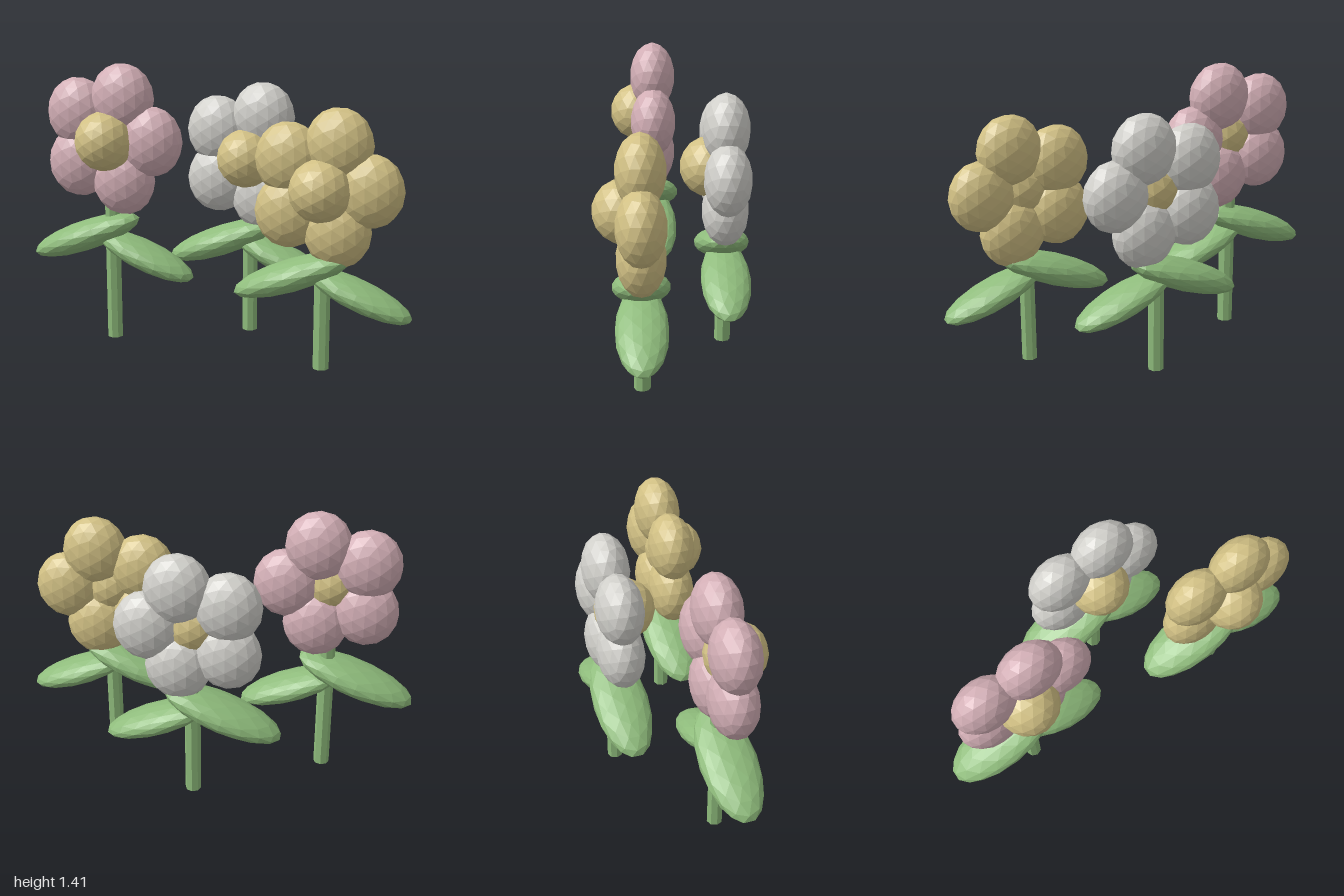
import * as THREE from 'three';

const paint = (name, color) => {
  const m = new THREE.MeshStandardMaterial({ color, flatShading: true });
  m.name = name;
  return m;
};

export function createModel() {
  const green = paint('leaf green', 0x8fbc7c);
  const pink = paint('soft pink', 0xd2aeb5);
  const white = paint('off white', 0xd0cfca);
  const yellow = paint('pale gold', 0xd1c084);

  const ball = new THREE.IcosahedronGeometry(1, 2);

  // Faceted ellipsoid used for petals, flower centres and leaves
  const blob = (name, material, radii, position, tilt = 0) => {
    const mesh = new THREE.Mesh(ball, material);
    mesh.name = name;
    mesh.scale.set(...radii);
    mesh.position.set(...position);
    mesh.rotation.z = tilt;
    return mesh;
  };

  const makeFlower = (name, petalMaterial, x, z, height) => {
    const flower = new THREE.Group();
    flower.name = name;
    flower.position.set(x, 0, z);

    // Stem runs up into the flower head
    const stem = new THREE.Mesh(new THREE.CylinderGeometry(0.04, 0.04, height, 8), green);
    stem.name = 'stem';
    stem.position.y = height / 2;
    flower.add(stem);

    // Drooping pair of leaves, the right-hand one larger and higher
    flower.add(blob('rightLeaf', green, [0.312, 0.077, 0.14], [-0.15, height * 0.508, 0], 0.37));
    flower.add(blob('leftLeaf', green, [0.273, 0.067, 0.123], [0.178, height * 0.433, 0], -0.37));

    // Ring of five petals
    for (let i = 0; i < 5; i++) {
      const a = (i / 5) * Math.PI * 2;
      const at = [Math.cos(a) * 0.215, height + Math.sin(a) * 0.215, 0];
      flower.add(blob('petal' + (i + 1), petalMaterial, [0.163, 0.176, 0.115], at));
    }

    // Centre pushed forward
    flower.add(blob('flowerCentre', yellow, [0.15, 0.15, 0.15], [0, height, 0.07]));
    return flower;
  };

  const group = new THREE.Group();
  group.name = 'flowers';
  group.add(
    makeFlower('pinkFlower', pink, -0.56, 0.093, 1.035),
    makeFlower('whiteFlower', white, 0.06, -0.246, 0.928),
    makeFlower('yellowFlower', yellow, 0.56, 0.167, 0.889)
  );
  return group;
}
